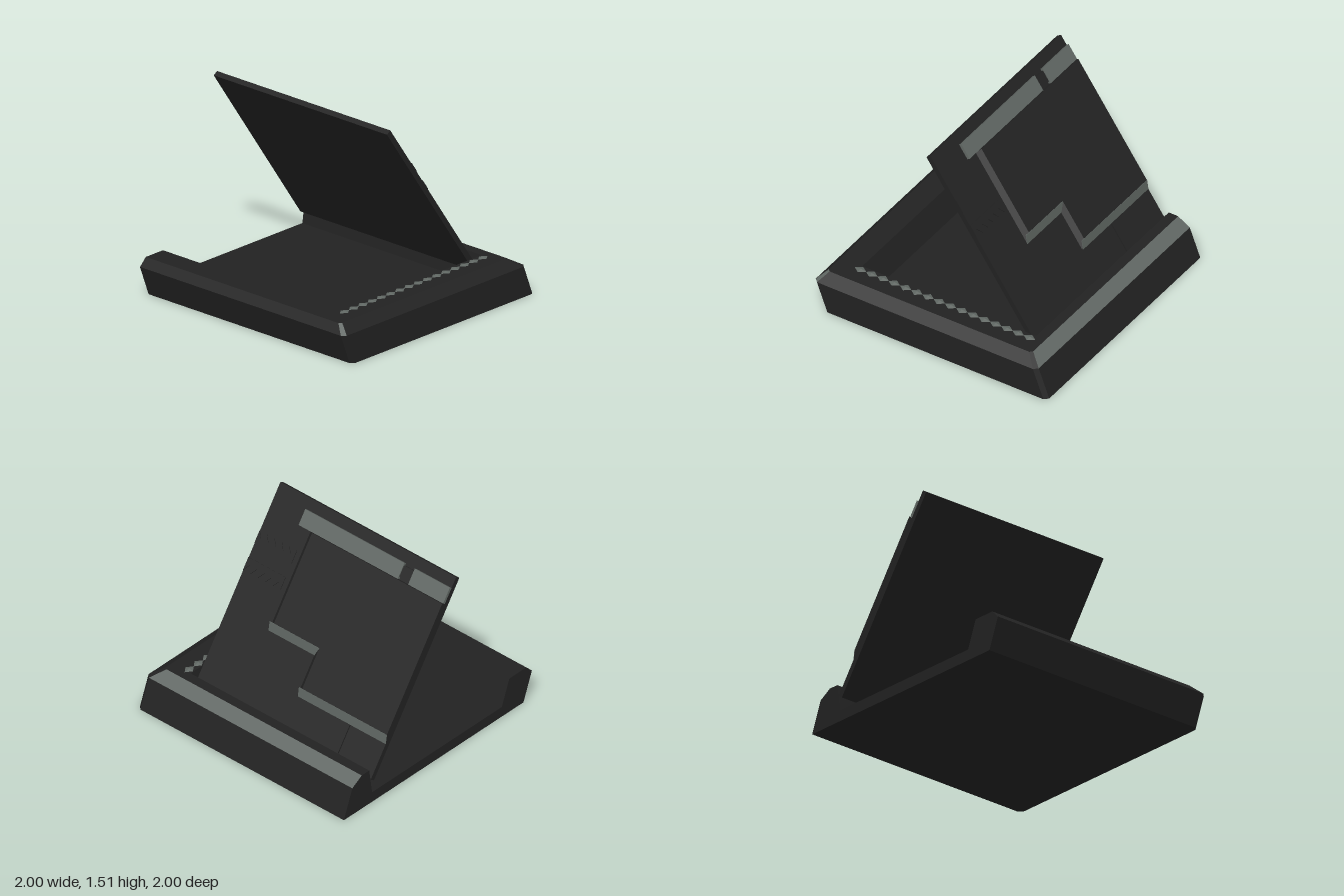
import * as THREE from 'three';

export function createModel() {
  const model = new THREE.Group();
  const dark = new THREE.MeshStandardMaterial({ color: 0x222222, flatShading: true });
  dark.name = 'charcoal';
  const light = new THREE.MeshStandardMaterial({ color: 0x5f6662, flatShading: true });
  light.name = 'greyGreen';

  const add = (parent, name, geometry, material, x = 0, y = 0, z = 0) => {
    const mesh = new THREE.Mesh(geometry, material);
    mesh.name = name;
    mesh.position.set(x, y, z);
    parent.add(mesh);
    return mesh;
  };
  const facets = (corners) => {
    const g = new THREE.BufferGeometry();
    g.setAttribute('position', new THREE.Float32BufferAttribute(corners.flat(), 3));
    g.computeVertexNormals();
    return g;
  };

  // Base tray: rings running outside, over the rim and down to the recess floor
  const ring = (xr, y, zb, zf, c) => [
    [-1, y, zb], [xr - c, y, zb], [xr, y, zb + c],
    [xr, y, zf - c], [xr - c, y, zf], [-1, y, zf]];
  const rings = [
    ring(1, 0, -1, 0.91, 0.03),
    ring(1, 0.235, -0.91, 1, 0.03),
    ring(0.91, 0.295, -0.81, 0.94, 0.02),
    ring(0.73, 0.295, -0.73, 0.76, 0.01),
    ring(0.7, 0.085, -0.7, 0.68, 0.01)];
  const body = [], bevel = [];
  for (let r = 0; r < rings.length - 1; r++) {
    const a = rings[r], b = rings[r + 1];
    for (let i = 0; i < 5; i++) {
      const target = r === 1 && (i === 0 || i === 3) ? bevel : body;
      target.push(a[i], b[i], b[i + 1], a[i], b[i + 1], a[i + 1]);
    }
  }
  const bottom = rings[0], floor = rings[4];
  for (let i = 1; i < 5; i++) {
    body.push(bottom[0], bottom[i], bottom[i + 1]);
    body.push(floor[0], floor[i + 1], floor[i]);
  }
  add(model, 'baseTray', facets(body), dark);
  add(model, 'rearBevel', facets(bevel), light);

  // Flat cut end of the tray at x = -1
  const section = [
    ...rings.map((r) => new THREE.Vector2(r[0][2], r[0][1])),
    ...rings.map((r) => new THREE.Vector2(r[5][2], r[5][1])).reverse()];
  const endCap = new THREE.ShapeGeometry(new THREE.Shape(section));
  endCap.rotateY(-Math.PI / 2);
  add(model, 'trayEnd', endCap, dark, -1);

  // Row of diamond teeth along the side rim
  const tooth = new THREE.ConeGeometry(0.045, 0.01, 4);
  tooth.scale(0.8, 1, 1.1);
  for (let i = 0; i < 16; i++) add(model, 'rimTooth', tooth, light, 0.77, 0.3, -0.7 + i * 0.0965);

  // Leaning panel: local y runs up the slope, local -z is its back
  const panel = new THREE.Group();
  panel.name = 'leaningPanel';
  panel.position.set(0, 0.18, -0.68);
  panel.rotation.x = 0.607;
  model.add(panel);
  add(panel, 'panelSlab', new THREE.BoxGeometry(1.7, 1.592, 0.042), dark, -0.15, 0.796, -0.021);

  // Stepped raised pad with sloping lower and side edges
  const outline = [[-1, 0.28], [-0.14, 0.28], [-0.14, 0.6], [0.3, 0.6], [0.3, 1.38], [-1, 1.38]];
  const padShape = new THREE.Shape(outline.map(([x, y]) => new THREE.Vector2(x, y)));
  const pad = new THREE.ExtrudeGeometry(padShape, { depth: 0.035, bevelEnabled: false });
  const p = pad.attributes.position;
  for (let i = 0; i < p.count; i++) {
    if (p.getZ(i) > 0.01) continue;
    if (p.getX(i) > -0.99) p.setX(i, p.getX(i) - 0.04);
    if (p.getY(i) < 1) p.setY(i, p.getY(i) + 0.07);
  }
  pad.computeVertexNormals();
  add(panel, 'raisedPad', pad, dark, 0, 0, -0.075);

  // Pale facings on the pad's lower slopes
  for (const [x0, x1, y] of [[-1, -0.15, 0.315], [-0.18, 0.3, 0.635]]) {
    const facing = add(panel, 'padSlope', new THREE.BoxGeometry(x1 - x0, 0.076, 0.004),
      light, (x0 + x1) / 2, y, -0.0585);
    facing.rotation.x = -Math.atan2(0.035, 0.07);
  }

  // Pale ledge in two lengths near the top edge
  for (const [x0, x1] of [[-1, -0.66], [-0.56, 0.4]]) {
    add(panel, 'topLedge', new THREE.BoxGeometry(x1 - x0, 0.125, 0.024),
      light, (x0 + x1) / 2, 1.445, -0.052);
  }
  add(panel, 'ledgeGap', new THREE.BoxGeometry(0.1, 0.09, 0.016), dark, -0.61, 1.445, -0.048);

  // Two toothed strips beside the pad
  for (const [straight, dir] of [[1.0, -1], [1.11, 1]]) {
    const comb = new THREE.Shape();
    comb.moveTo(0.34, straight);
    for (let i = 0; i <= 10; i++) {
      comb.lineTo(0.34 + i * 0.036, straight + dir * (i % 2 ? 0.05 : 0.1));
    }
    comb.lineTo(0.7, straight);
    add(panel, 'toothedStrip', new THREE.ExtrudeGeometry(comb, { depth: 0.006, bevelEnabled: false }),
      dark, 0, 0, -0.047);
  }

  // Small block below the pad
  add(panel, 'lowerBlock', new THREE.BoxGeometry(0.15, 0.27, 0.014), dark, -0.585, 0.145, -0.046);

  return model;
}
